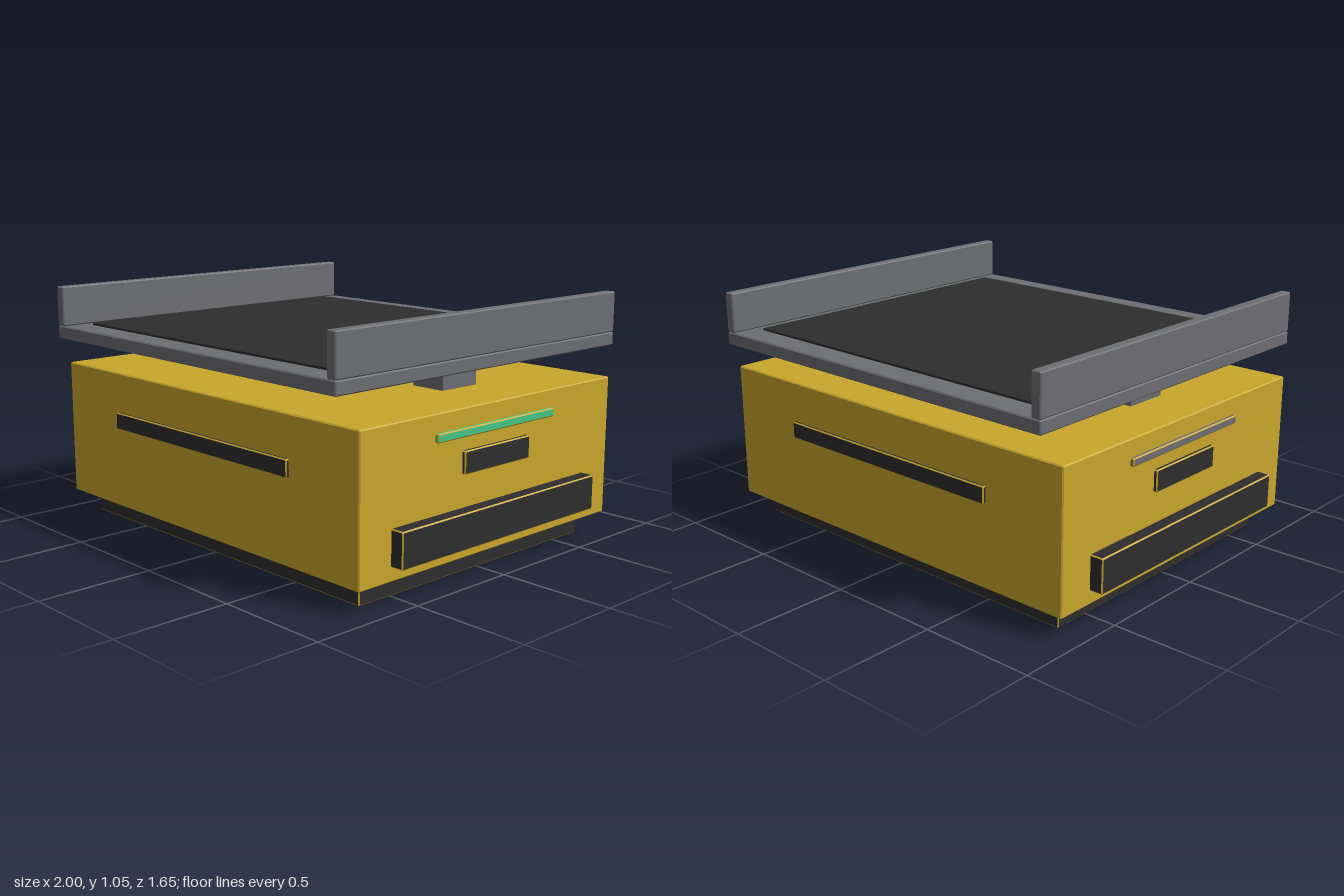
import * as THREE from 'three';

const mat = (name, color) => {
  const m = new THREE.MeshStandardMaterial({ color });
  m.name = name;
  return m;
};

// Box with narrow chamfers; group 0 is the flat faces, group 1 the chamfers
function chamferBox(w, h, d, b) {
  const half = [w / 2, h / 2, d / 2];
  const geo = new THREE.BoxGeometry(3, 3, 3, 3, 3, 3).toNonIndexed();
  const pos = geo.attributes.position;
  for (let i = 0; i < pos.count; i++) {
    const p = [pos.getX(i), pos.getY(i), pos.getZ(i)];
    const outer = p.filter((v) => Math.abs(v) > 1).length;
    const pull = [0, 0, b / 2, (2 * b) / 3][outer];
    const q = p.map((v, k) => Math.sign(v) * (half[k] - (Math.abs(v) > 1 ? pull : b)));
    pos.setXYZ(i, ...q);
  }
  geo.clearGroups();
  for (let f = 0; f < 6; f++) {
    geo.addGroup(f * 54, 24, 1);
    geo.addGroup(f * 54 + 24, 6, 0);
    geo.addGroup(f * 54 + 30, 24, 1);
  }
  geo.computeVertexNormals();
  return geo;
}

export function createModel() {
  const yellow = mat('bodyYellow', 0xc9a62c);
  const dark = mat('rubberBlack', 0x2d2d2d);
  const grey = mat('deckGrey', 0x6d6e72);
  const green = mat('lightGreen', 0x45c586);
  const model = new THREE.Group();
  model.name = 'transportCart';

  // Add a part from its min and max corners
  const part = (name, [x0, y0, z0], [x1, y1, z1], face, edge = face, b = 0.005) => {
    const geo = chamferBox(x1 - x0, y1 - y0, z1 - z0, b);
    const mesh = new THREE.Mesh(geo, [face, edge]);
    mesh.name = name;
    mesh.position.set((x0 + x1) / 2, (y0 + y1) / 2, (z0 + z1) / 2);
    model.add(mesh);
    return mesh;
  };

  // Chassis
  part('base', [-0.86, 0.005, -0.665], [0.86, 0.12, 0.665], dark, yellow);
  part('body', [-0.94, 0.1, -0.745], [0.94, 0.7, 0.745], yellow);

  // Lifting deck
  part('deck', [-0.9, 0.823, -0.823], [0.9, 0.88, 0.823], grey);
  part('deckPad', [-0.803, 0.875, -0.705], [0.803, 0.89, 0.705], dark, dark, 0.002);

  // Side fittings, mirrored
  for (const s of [-1, 1]) {
    const side = s > 0 ? 'left' : 'right';
    const sidePart = (name, xIn, xOut, y0, y1, z, face, edge, b) =>
      part(side + name, [Math.min(s * xIn, s * xOut), y0, -z],
        [Math.max(s * xIn, s * xOut), y1, z], face, edge, b);
    sidePart('DeckRail', 0.853, 0.9, 0.88, 1.055, 0.823, grey);
    sidePart('LiftSupport', 0.59, 0.748, 0.724, 0.83, 0.1, grey, grey, 0.001);
    sidePart('Bumper', 0.93, 0.998, 0.158, 0.306, 0.58, dark, yellow);
    sidePart('SidePanel', 0.93, 0.955, 0.44, 0.534, 0.195, dark, yellow);
    sidePart('StatusLight', 0.93, 0.955, 0.588, 0.624, 0.35, s > 0 ? green : grey, yellow);
  }

  // Sensor slots on the front and back
  for (const s of [-1, 1]) {
    part(s > 0 ? 'frontSensorSlot' : 'backSensorSlot',
      [-0.563, 0.453, s * 0.745 - 0.013], [0.563, 0.527, s * 0.745 + 0.013], dark, yellow);
  }
  return model;
}
